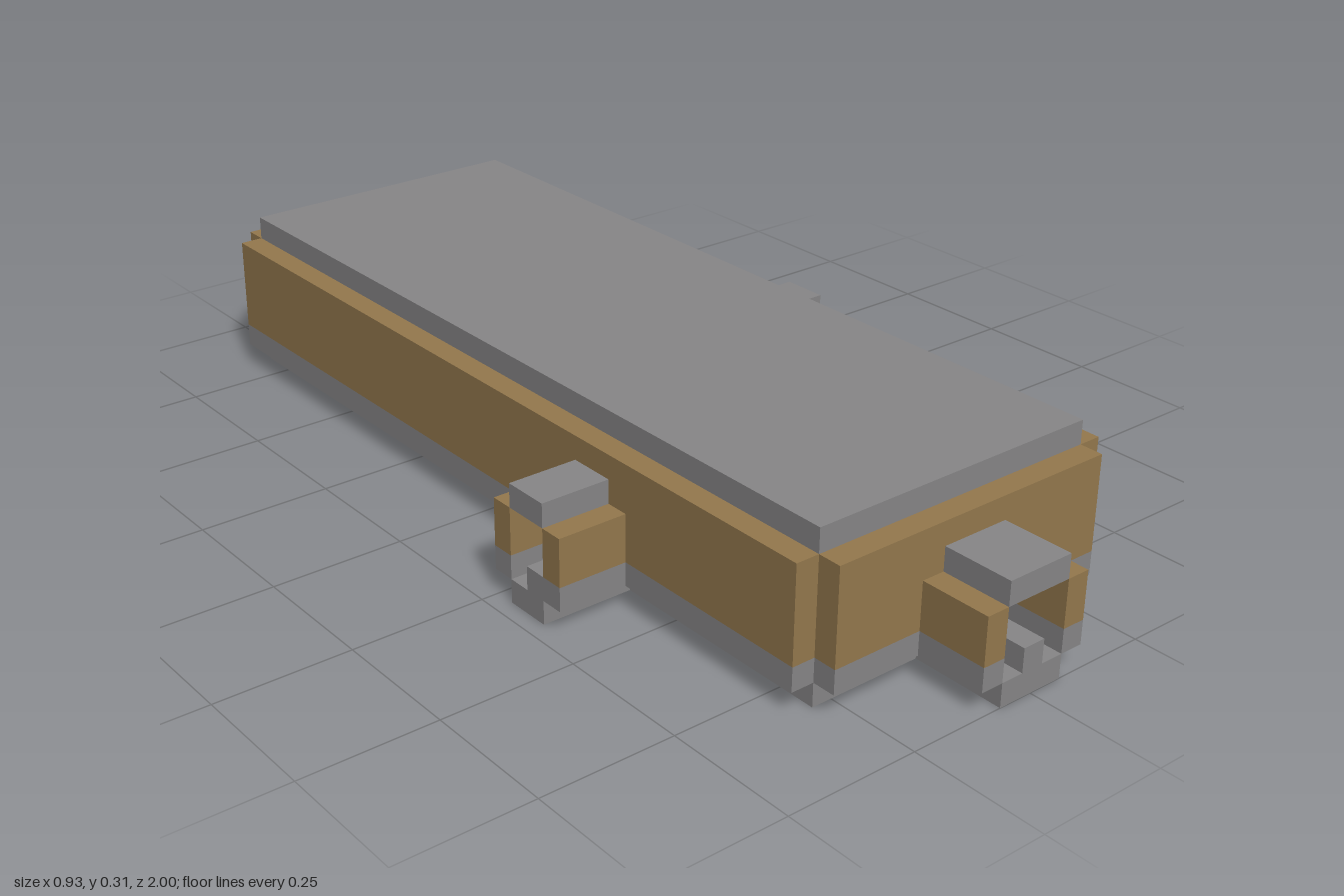
import * as THREE from 'three';

// One grid cell; the longest side is 45 cells.
const U = 2 / 45;

export function createModel() {
  const stone = new THREE.MeshStandardMaterial({ color: 0x878687 });
  stone.name = 'grey stone';
  const wood = new THREE.MeshStandardMaterial({ color: 0x94784d });
  wood.name = 'brown wood';

  // Box between two corners, measured in cells
  function box(parent, name, mat, x0, x1, y0, y1, z0, z1) {
    const geo = new THREE.BoxGeometry((x1 - x0) * U, (y1 - y0) * U, (z1 - z0) * U);
    const mesh = new THREE.Mesh(geo, mat);
    mesh.position.set((x0 + x1) / 2 * U, (y0 + y1) / 2 * U, (z0 + z1) / 2 * U);
    mesh.name = name;
    parent.add(mesh);
  }

  // Wall standing on the floor: stone base course, wood above
  function wall(parent, name, x0, x1, top, z0, z1) {
    box(parent, name + 'Base', stone, x0, x1, 1, 2, z0, z1);
    box(parent, name, wood, x0, x1, 2, top, z0, z1);
  }

  // One side of the hall, facing local +z, with a doorway from a to b
  // and a short covered passage in front of it
  function side(name, angle, inner, half, a, b, rail) {
    const g = new THREE.Group();
    g.name = name;
    g.rotation.y = angle;
    const outer = inner + 1, end = inner + 4;

    wall(g, 'wall', -half, a, 6, inner, outer);
    wall(g, 'wall', b, half, 6, inner, outer);
    box(g, 'lintel', wood, a, b, 4, 6, inner, outer);

    box(g, 'passageFloor', stone, a, b, 0, 1, inner, end);
    wall(g, 'passageWall', a - 1, a, 4, outer, end);
    wall(g, 'passageWall', b, b + 1, 4, outer, end);
    box(g, 'passageRoof', stone, a, b, 4, 5, outer, end);

    // Rail running from the middle of the hall out to the passage mouth
    box(g, 'rail', stone, rail - 0.5, rail + 0.5, 1, 2, 0.5, end);
    return g;
  }

  const model = new THREE.Group();
  model.name = 'tunnelHall';
  box(model, 'floor', stone, -6.5, 6.5, 0, 1, -18.5, 18.5);
  box(model, 'roof', stone, -6.5, 6.5, 6, 7, -18.5, 18.5);
  box(model, 'railCrossing', stone, -0.5, 0.5, 1, 2, -0.5, 0.5);

  model.add(
    side('frontSide', 0, 18.5, 6.5, -1.5, 1.5, 0),
    side('backSide', Math.PI, 18.5, 6.5, -1.5, 1.5, 0),
    side('leftSide', Math.PI / 2, 6.5, 18.5, -0.5, 1.5, 0),
    side('rightSide', -Math.PI / 2, 6.5, 18.5, 6.5, 8.5, 8)
  );
  return model;
}
